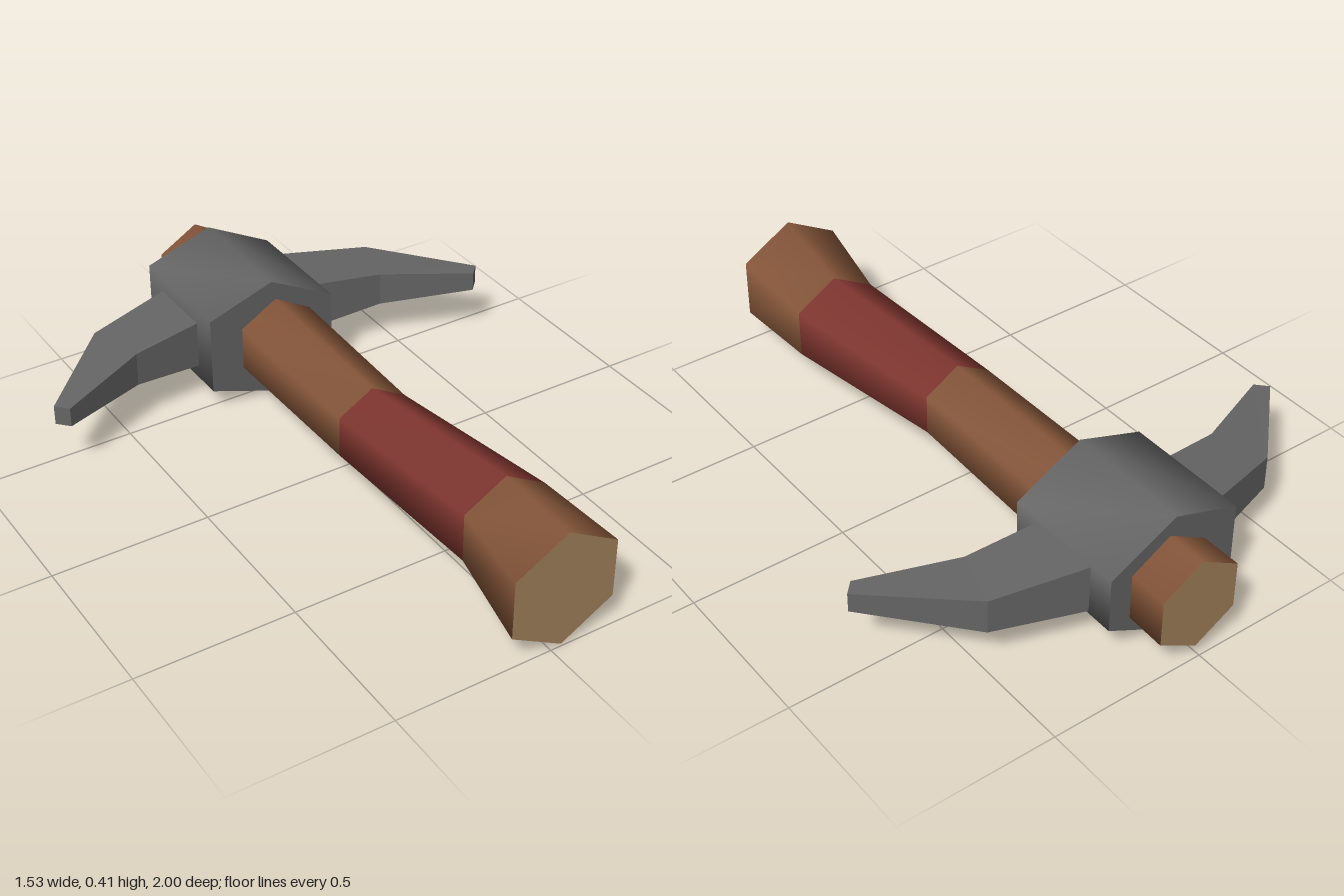
import * as THREE from 'three';

const material = (name, color) => {
  const m = new THREE.MeshStandardMaterial({ color });
  m.name = name;
  return m;
};

// Skin between rings of equal point count (counter-clockwise about the direction of travel).
// Each band between two rings is its own geometry group.
function loft(rings, bandMaterials = []) {
  const n = rings[0].length;
  const index = [];
  const geometry = new THREE.BufferGeometry();
  for (let i = 0; i < rings.length - 1; i++) {
    for (let j = 0; j < n; j++) {
      const a = i * n + j, b = i * n + (j + 1) % n;
      index.push(a, b, a + n, b, b + n, a + n);
    }
    geometry.addGroup(i * n * 6, n * 6, bandMaterials[i] ?? 0);
  }
  geometry.setAttribute('position', new THREE.Float32BufferAttribute(rings.flat(2), 3));
  geometry.setIndex(index);
  geometry.computeVertexNormals();
  return geometry;
}

// Flat polygon closing a ring; flip it for the starting end.
function cap(ring, flip = false) {
  const geometry = new THREE.BufferGeometry();
  const index = [];
  for (let j = 1; j < ring.length - 1; j++) index.push(0, flip ? j + 1 : j, flip ? j : j + 1);
  geometry.setAttribute('position', new THREE.Float32BufferAttribute(ring.flat(), 3));
  geometry.setIndex(index);
  geometry.computeVertexNormals();
  return geometry;
}

export function createModel() {
  const model = new THREE.Group();
  model.name = 'pickaxe';
  const wood = material('wood', 0x85563a);
  const cutWood = material('cut wood', 0xa3825c);
  const grip = material('red grip', 0x803630);
  const metal = material('metal', 0x656565);

  const add = (parent, name, geometry, mat) => {
    const mesh = new THREE.Mesh(geometry, mat);
    mesh.name = name;
    parent.add(mesh);
  };

  // Handle: bent hexagonal shaft, [z, centre x, half width, half height]
  const sections = [
    [-1, 0.018, 0.13, 0.152],
    [0.1, 0.008, 0.114, 0.132],
    [0.68, 0.066, 0.136, 0.157],
    [1, 0.033, 0.168, 0.191],
  ];
  const handleRings = sections.map(([z, cx, w, h]) =>
    Array.from({ length: 6 }, (_, k) => {
      const a = Math.PI / 6 + k * Math.PI / 3;
      return [cx + w * Math.cos(a) / Math.cos(Math.PI / 6), 0.202 + h * Math.sin(a), z];
    }));
  const handle = new THREE.Group();
  handle.name = 'handle';
  add(handle, 'shaft', loft(handleRings, [0, 1, 0]), [wood, grip]);
  add(handle, 'backEnd', cap(handleRings[0], true), cutWood);
  add(handle, 'frontEnd', cap(handleRings[3]), cutWood);
  model.add(handle);

  // Collar: slightly lopsided hexagonal sleeve around the shaft
  const outline = [[0.217, 0.295], [0, 0.41], [-0.22, 0.335], [-0.22, 0.08], [0, 0.003], [0.217, 0.118]];
  const collarRings = [-0.87, -0.465].map((z) => outline.map(([x, y]) => [x, y, z]));
  const head = new THREE.Group();
  head.name = 'head';
  add(head, 'collar', loft(collarRings), metal);
  add(head, 'collarBack', cap(collarRings[0], true), metal);
  add(head, 'collarFront', cap(collarRings[1]), metal);

  // Picks: tapering curved arms, [outer x, outer z, inner x, inner z, bottom, top]
  const arm = [
    [0.2, -0.789, 0.2, -0.557, 0.125, 0.286],
    [0.5, -0.707, 0.445, -0.53, 0.15, 0.262],
    [0.765, -0.442, 0.73, -0.405, 0.175, 0.238],
  ];
  for (const side of [1, -1]) {
    const rings = arm.map(([ox, oz, ix, iz, y0, y1]) => {
      const ring = [[ox, y1, oz], [ix, y1, iz], [ix, y0, iz], [ox, y0, oz]]
        .map(([x, y, z]) => [side * x, y, z]);
      return side > 0 ? ring : ring.reverse();
    });
    const label = side > 0 ? 'left' : 'right';
    const flat = loft(rings).toNonIndexed();
    flat.computeVertexNormals();
    add(head, label + 'Pick', flat, metal);
    add(head, label + 'PickTip', cap(rings[2]), metal);
  }
  model.add(head);
  return model;
}
